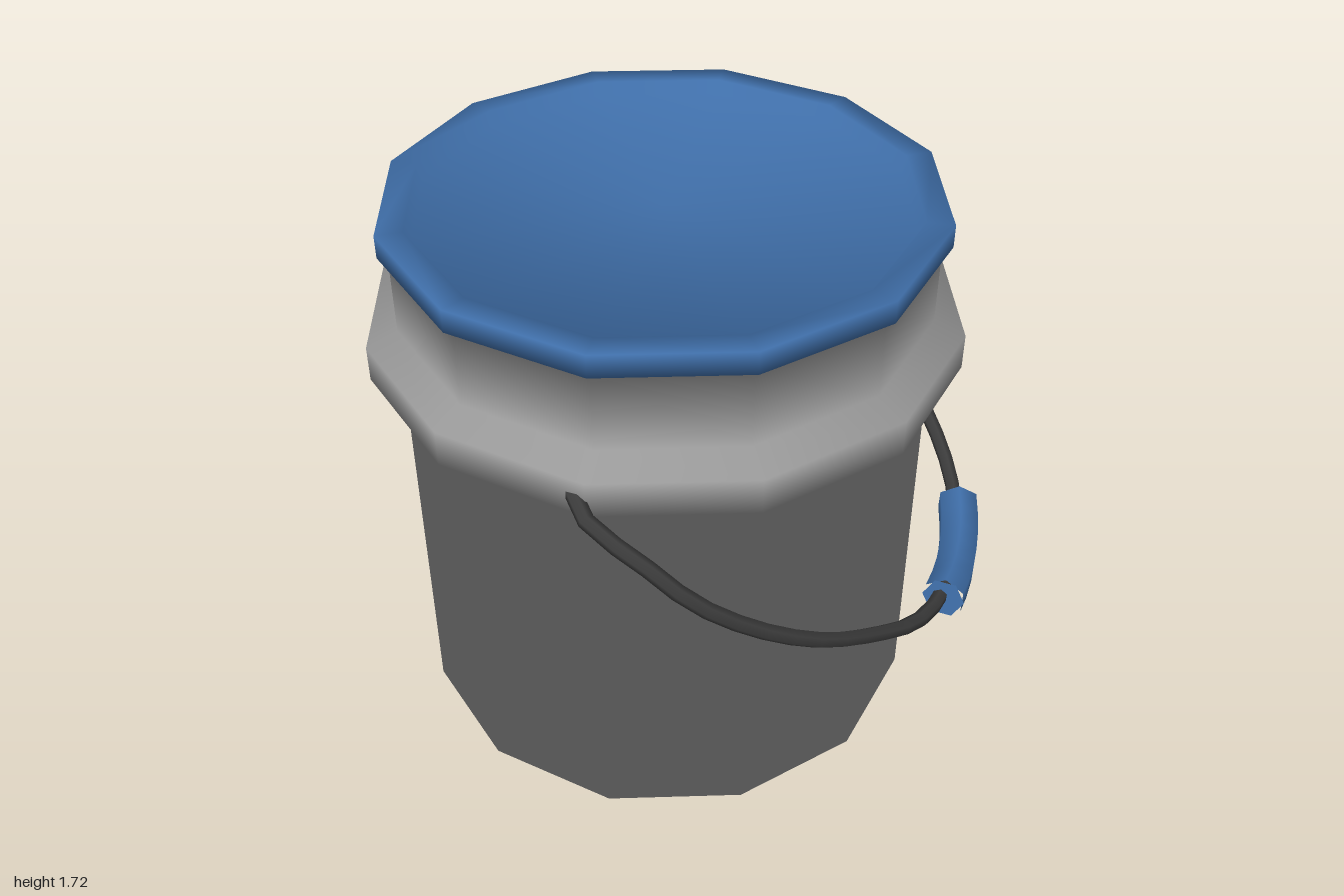
import * as THREE from 'three';

const SIDES = 12;
const CENTER_X = -0.065;

// Averaged outline normals, so shading flows softly round every rim
function outlineNormals(points) {
  const segs = points.slice(1).map((p, i) =>
    new THREE.Vector2(p[1] - points[i][1], points[i][0] - p[0]).normalize());
  return points.map((p, i) => {
    const a = segs[Math.max(i - 1, 0)];
    const b = segs[Math.min(i, segs.length - 1)];
    return a.clone().add(b).normalize();
  });
}

// Twelve-sided turned part from a stretch of the outline
function turned(name, outline, normals, from, to, material) {
  const pts = outline.slice(from, to + 1).map(p => new THREE.Vector2(p[0], p[1]));
  const geo = new THREE.LatheGeometry(pts, SIDES);
  const normal = geo.attributes.normal;
  for (let i = 0; i <= SIDES; i++) {
    const phi = (i / SIDES) * Math.PI * 2;
    pts.forEach((_, j) => {
      const n = normals[from + j];
      normal.setXYZ(i * pts.length + j, n.x * Math.sin(phi), n.y, n.x * Math.cos(phi));
    });
  }
  const mesh = new THREE.Mesh(geo, material);
  mesh.name = name;
  mesh.position.x = CENTER_X;
  return mesh;
}

// Tube along points given for one half and mirrored to the other
function mirroredTube(name, half, segments, radius, material) {
  const pts = [
    ...half.map(p => new THREE.Vector3(...p)),
    ...half.slice(0, -1).reverse().map(([x, y, z]) => new THREE.Vector3(x, y, -z)),
  ];
  const curve = new THREE.CatmullRomCurve3(pts);
  const mesh = new THREE.Mesh(new THREE.TubeGeometry(curve, segments, radius, 6), material);
  mesh.name = name;
  return { mesh, curve };
}

export function createModel() {
  const metal = new THREE.MeshStandardMaterial({ color: 0x9c9c9c });
  metal.name = 'grey metal';
  const blue = new THREE.MeshStandardMaterial({ color: 0x3f6ea8 });
  blue.name = 'blue plastic';
  const dark = new THREE.MeshStandardMaterial({ color: 0x3c3c3c });
  dark.name = 'dark wire';

  const model = new THREE.Group();
  model.name = 'bucket';

  // Bucket wall with raised collar, then the lid with its shallow recess
  const outline = [
    [0, 0], [0.8, 0], [0.8, 1.25], [0.895, 1.25], [0.895, 1.36], [0.8, 1.4], [0.8, 1.65],
    [0.83, 1.65], [0.83, 1.72], [0.75, 1.72], [0.735, 1.68], [0, 1.68],
  ];
  const normals = outlineNormals(outline);
  model.add(
    turned('bucketBody', outline, normals, 0, 2, metal),
    turned('collar', outline, normals, 2, 5, metal),
    turned('neck', outline, normals, 5, 6, metal),
    turned('lid', outline, normals, 6, 11, blue),
  );

  // Wire handle hanging down towards +x
  const handle = new THREE.Group();
  handle.name = 'handle';
  const wire = mirroredTube('handleWire', [
    [-0.11, 1.305, 0.86], [-0.04, 1.27, 0.945], [0.1, 1.195, 0.975], [0.24, 1.08, 0.972],
    [0.39, 0.95, 0.9], [0.555, 0.81, 0.765], [0.7, 0.685, 0.58], [0.8, 0.6, 0.42],
    [0.86, 0.55, 0.24], [0.885, 0.53, 0],
  ], 36, 0.024, dark);
  handle.add(wire.mesh);

  // Grip sleeve with closed ends
  const grip = mirroredTube('grip', [
    [0.87, 0.545, 0.24], [0.888, 0.528, 0.12], [0.893, 0.522, 0],
  ], 6, 0.068, blue);
  handle.add(grip.mesh);
  for (const t of [0, 1]) {
    const cap = new THREE.Mesh(new THREE.CircleGeometry(0.066, 6), blue);
    cap.name = 'gripEnd';
    const at = grip.curve.getPointAt(t);
    const outward = grip.curve.getTangentAt(t).multiplyScalar(t ? 1 : -1);
    cap.position.copy(at);
    cap.lookAt(at.clone().add(outward));
    handle.add(cap);
  }
  model.add(handle);
  return model;
}
